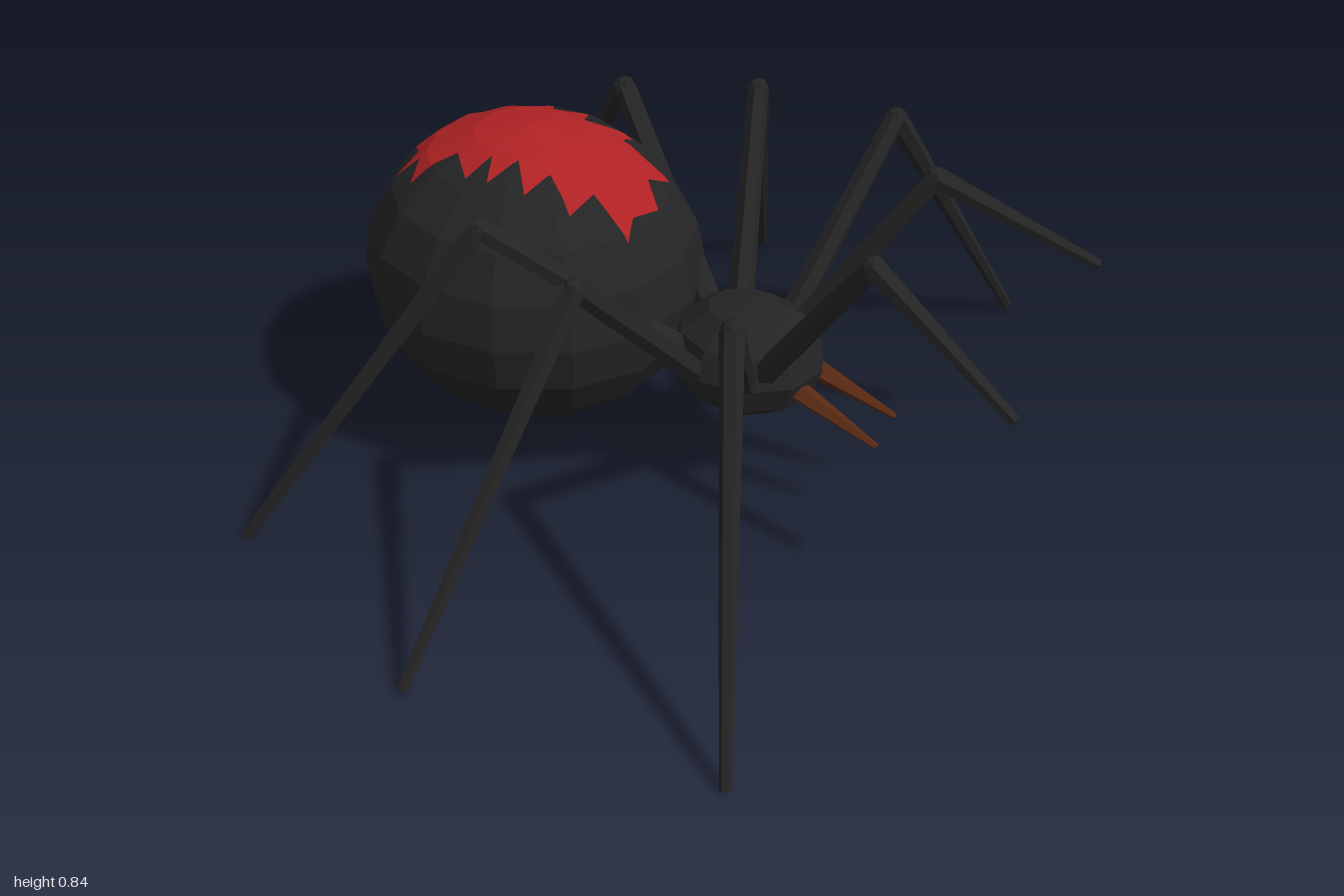
import * as THREE from 'three';

const mat = (name, color) => {
  const m = new THREE.MeshStandardMaterial({ color, flatShading: true });
  m.name = name;
  return m;
};

// Tapered rod between two points
function rod(name, a, b, ra, rb, sides, material) {
  const from = new THREE.Vector3(...a), to = new THREE.Vector3(...b);
  const dir = to.clone().sub(from);
  const mesh = new THREE.Mesh(new THREE.CylinderGeometry(rb, ra, dir.length(), sides), material);
  mesh.position.copy(from).add(to).multiplyScalar(0.5);
  mesh.quaternion.setFromUnitVectors(new THREE.Vector3(0, 1, 0), dir.normalize());
  mesh.name = name;
  return mesh;
}

function ellipsoid(name, center, radii, w, h, material) {
  const mesh = new THREE.Mesh(new THREE.SphereGeometry(1, w, h).scale(...radii), material);
  mesh.position.set(...center);
  mesh.name = name;
  return mesh;
}

const CENTER = [-0.43, 0.47, 0], RADII = [0.415, 0.37, 0.385];
const SECTORS = 14, BANDS = 10;

// Jagged outline of the back marking, as x, z pairs seen from above
const OUTLINE = [
  [-.75, -.01], [-.68, -.06], [-.70, -.10], [-.60, -.09], [-.585, -.155], [-.50, -.13],
  [-.47, -.195], [-.435, -.13], [-.405, -.15], [-.375, -.195], [-.35, -.125], [-.25, -.18],
  [-.25, -.125], [-.13, -.125], [-.155, -.06], [-.10, 0], [-.13, .07], [-.115, .125],
  [-.21, .105], [-.235, .175], [-.31, .12], [-.34, .19], [-.39, .12], [-.435, .19],
  [-.455, .125], [-.49, .19], [-.55, .12], [-.65, .175], [-.66, .11], [-.72, .13], [-.695, .06],
];

// Thin marking that follows the facets of the abdomen
function backMarking(material) {
  const step = 2 * Math.PI / SECTORS, band = Math.PI / BANDS;
  const spokes = [];
  OUTLINE.forEach((p, i) => {
    const q = OUTLINE[(i + 1) % OUTLINE.length];
    for (let k = 0; k < 6; k++) {
      const t = k / 6;
      const x = (p[0] + (q[0] - p[0]) * t - CENTER[0]) / RADII[0];
      const z = (p[1] + (q[1] - p[1]) * t) / RADII[2];
      const angle = Math.atan2(z, x);
      // Distance measured along the corner of the facet ring
      const psi = angle - (Math.floor(angle / step) + 0.5) * step;
      const stretch = Math.cos(psi) / Math.cos(step / 2);
      spokes.push({ angle, stretch, outer: Math.hypot(x, z) * stretch });
    }
  });
  const pos = [], index = [], rings = 4;
  for (const s of spokes) {
    for (let r = 0; r <= rings; r++) {
      const u = Math.min(Math.sin(r * band), s.outer);
      const k = Math.min(Math.floor(Math.asin(u) / band + 1e-6), 4);
      const u0 = Math.sin(k * band), u1 = Math.sin((k + 1) * band);
      const y = THREE.MathUtils.mapLinear(u, u0, u1, Math.cos(k * band), Math.cos((k + 1) * band));
      const rho = u / s.stretch;
      pos.push(rho * Math.cos(s.angle) * RADII[0], y * RADII[1] + 0.004, rho * Math.sin(s.angle) * RADII[2]);
    }
  }
  const row = rings + 1;
  for (let i = 0; i < spokes.length; i++) {
    const a = i * row, b = ((i + 1) % spokes.length) * row;
    for (let r = 0; r < rings; r++) {
      index.push(a + r, b + r + 1, a + r + 1);
      if (r > 0) index.push(a + r, b + r, b + r + 1);
    }
  }
  const geo = new THREE.BufferGeometry();
  geo.setAttribute('position', new THREE.Float32BufferAttribute(pos, 3));
  geo.setIndex(index);
  geo.computeVertexNormals();
  const mesh = new THREE.Mesh(geo, material);
  mesh.position.set(...CENTER);
  mesh.name = 'backMarking';
  return mesh;
}

// Hip, knee and tip of each leg on the +z side, front to back
const LEGS = [
  [[0.18, 0.35, 0.09], [0.49, 0.82, 0.20], [0.85, 0.615, 0.32]],
  [[0.16, 0.34, 0.10], [0.295, 0.785, 0.485], [0.495, 0.012, 0.955]],
  [[0.06, 0.34, 0.10], [-0.06, 0.785, 0.485], [-0.245, 0.012, 0.985]],
  [[0.03, 0.36, 0.06], [-0.36, 0.785, 0.36], [-0.84, 0.012, 0.705]],
];

export function createModel() {
  const black = mat('black', 0x242424);
  const red = mat('red', 0xb02224);
  const brown = mat('brown', 0x5a2a12);
  const spider = new THREE.Group();
  spider.name = 'spider';

  spider.add(
    ellipsoid('abdomen', CENTER, RADII, SECTORS, BANDS, black),
    backMarking(red),
    ellipsoid('head', [0.125, 0.367, 0], [0.19, 0.143, 0.163], 10, 6, black),
  );

  for (const side of [1, -1]) {
    const flip = ([x, y, z]) => [x, y, z * side];
    LEGS.forEach(([hip, knee, tip], i) => {
      const leg = new THREE.Group();
      leg.name = `leg${i + 1}${side > 0 ? 'Left' : 'Right'}`;
      leg.add(
        rod('upperLeg', flip(hip), flip(knee), 0.032, 0.025, 6, black),
        rod('lowerLeg', flip(knee), flip(tip), 0.027, 0.014, 6, black),
      );
      // Small cap that closes the knee
      const cap = ellipsoid('knee', flip(knee), [0.026, 0.026, 0.026], 6, 4, black);
      leg.add(cap);
      spider.add(leg);
    });
    // Fang
    spider.add(rod('fang', [0.27, 0.335, 0.05 * side], [0.478, 0.243, 0.063 * side], 0.027, 0.007, 5, brown));
  }
  return spider;
}
